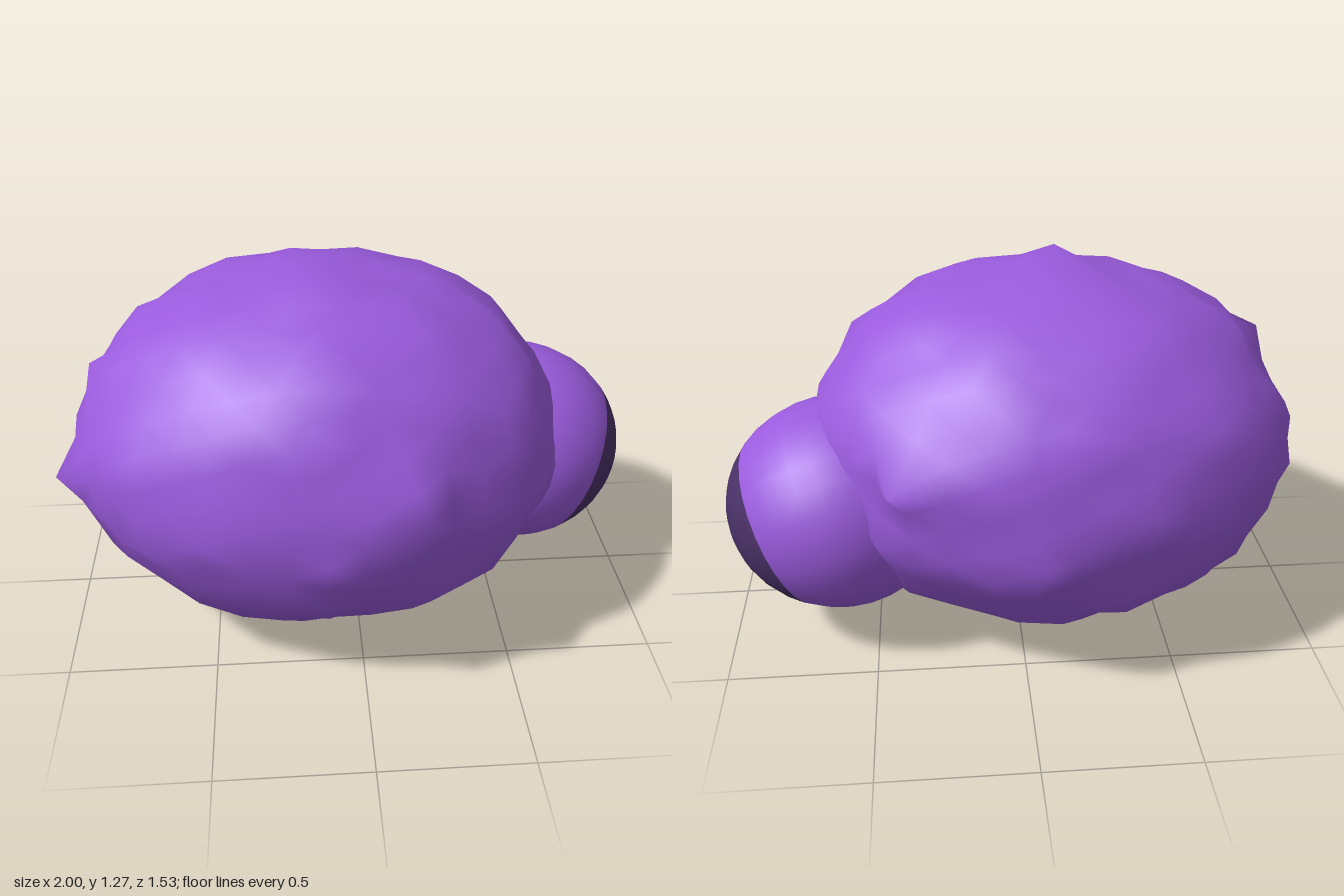
import * as THREE from 'three';
import { mergeVertices } from 'three/addons/utils/BufferGeometryUtils.js';

// Small seeded generator for the surface lumps
function seeded(seed) {
  return () => {
    seed = (seed * 16807) % 2147483647;
    return seed / 2147483647;
  };
}

// Lumpy ellipsoid: fullness above 2 makes it slightly boxier,
// peaks are points the surface swells out to
function lump({ center, radii, fullness, roughness, detail, seed, peaks }) {
  const source = new THREE.IcosahedronGeometry(1, detail);
  source.deleteAttribute('normal');
  source.deleteAttribute('uv');
  const geometry = mergeVertices(source, 1e-4);
  const position = geometry.attributes.position;
  const c = new THREE.Vector3(...center);
  const r = new THREE.Vector3(...radii);
  const random = seeded(seed);
  const points = [];
  for (let i = 0; i < position.count; i++) {
    const v = new THREE.Vector3().fromBufferAttribute(position, i);
    const norm = Math.pow(
      Math.abs(v.x) ** fullness + Math.abs(v.y) ** fullness + Math.abs(v.z) ** fullness,
      1 / fullness
    );
    v.multiply(r).multiplyScalar((1 + (random() - 0.5) * 2 * roughness) / norm);
    points.push(v.add(c));
  }
  // Swell the surface so that its nearest point reaches each peak
  for (const peak of peaks) {
    const p = new THREE.Vector3(...peak);
    const nearest = points
      .reduce((a, b) => (b.distanceTo(p) < a.distanceTo(p) ? b : a)).clone();
    const pull = p.clone().sub(nearest);
    for (const v of points) {
      v.addScaledVector(pull, Math.exp(-((v.distanceTo(nearest) / 0.09) ** 2)));
    }
  }
  points.forEach((v, i) => position.setXYZ(i, v.x, v.y, v.z));
  geometry.computeVertexNormals();
  return geometry;
}

// Band of the head ellipsoid, with its pole pointing outwards and slightly down
function headBand(start, length, rows) {
  return new THREE.SphereGeometry(1, 28, rows, 0, Math.PI * 2, start, length)
    .rotateZ(-Math.PI / 2 - 0.38)
    .scale(0.39, 0.36, 0.387)
    .translate(0.607, 0.472, -0.147);
}

export function createModel() {
  const group = new THREE.Group();
  const purple = new THREE.MeshStandardMaterial({ color: 0x9a5bdd });
  const dark = new THREE.MeshStandardMaterial({ color: 0x4a3168 });
  const add = (name, geometry, material) => {
    const mesh = new THREE.Mesh(geometry, material);
    mesh.name = name;
    group.add(mesh);
  };

  // Large rough body
  add('body', lump({
    center: [-0.12, 0.63, 0], radii: [0.83, 0.603, 0.722],
    fullness: 2.1, roughness: 0.027, detail: 6, seed: 4711,
    peaks: [
      [-1, 0.63, 0.25], [-0.87, 0.97, 0.1], [-0.15, 1.27, 0.15], [-0.15, 0, 0.18],
      [-0.04, 0.55, 0.765], [-0.04, 0.55, -0.765], [0.18, 0.72, 0.74], [0.43, 0.75, -0.63]
    ]
  }), purple);

  // Smaller head low on the side, with a darker face on its outer end
  const rim = Math.PI * 0.31;
  add('head', headBand(rim, Math.PI - rim, 12), purple);
  add('face', headBand(0, rim, 6), dark);

  return group;
}
